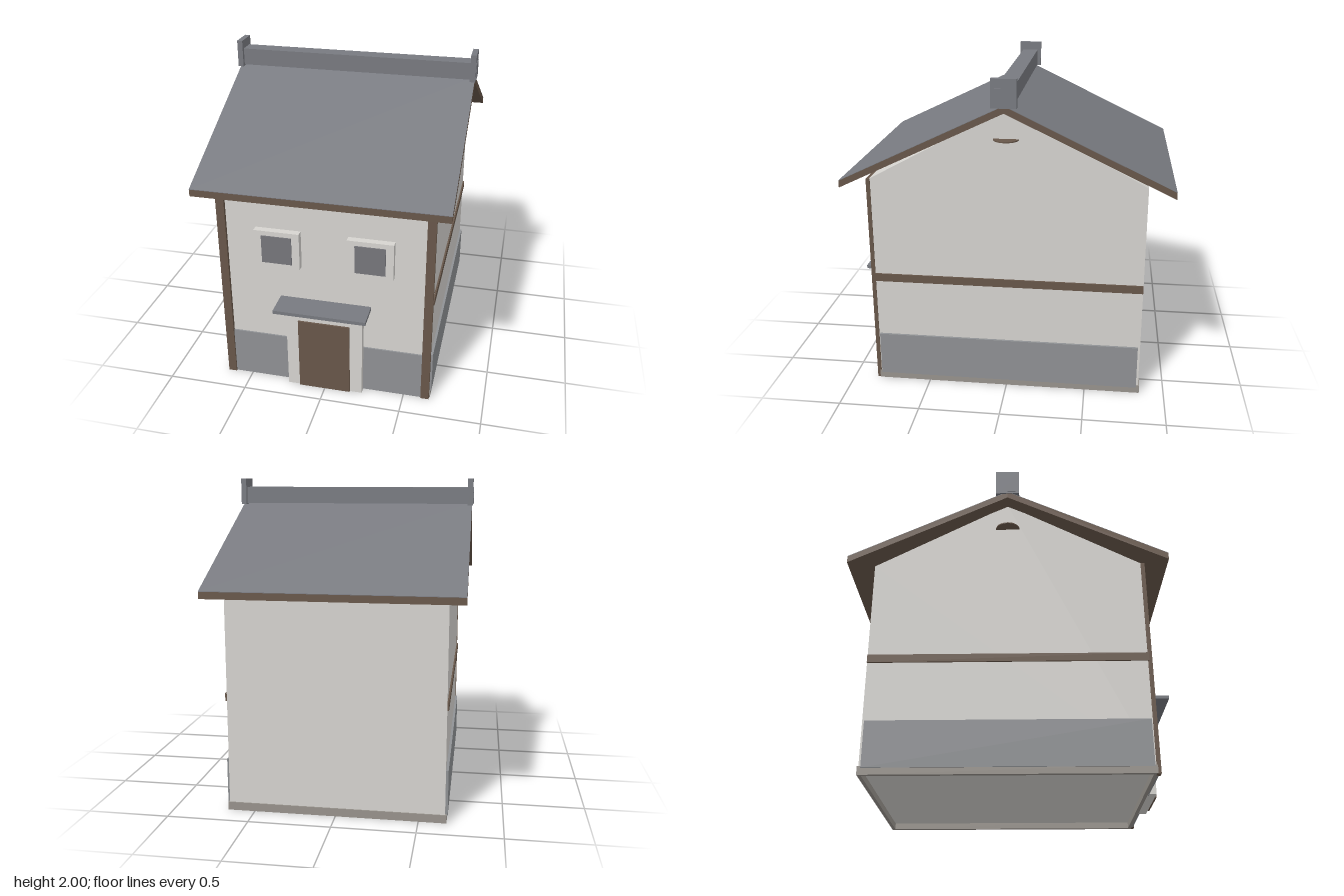
import * as THREE from 'three';

const mat = (color) => new THREE.MeshStandardMaterial({ color, flatShading: true });
const CZ = -0.005; // depth of the ridge line

export function createModel() {
  const group = new THREE.Group();
  const plaster = mat(0xd6d4d0), wood = mat(0x68574a), stone = mat(0x8f9194);
  const slate = mat(0x787a80), glass = mat(0x76767b), footing = mat(0x98938d);

  const add = (name, geometry, material) => {
    const mesh = new THREE.Mesh(geometry, material);
    mesh.name = name;
    group.add(mesh);
    return mesh;
  };
  // Box given by its low and high limits on each axis
  const box = (name, material, [x0, x1], [y0, y1], [z0, z1]) => {
    const g = new THREE.BoxGeometry(x1 - x0, y1 - y0, z1 - z0);
    g.translate((x0 + x1) / 2, (y0 + y1) / 2, (z0 + z1) / 2);
    return add(name, g, material);
  };
  // Prism along x from a [z, y] outline
  const prism = (name, material, outline, halfWidth) => {
    const shape = new THREE.Shape(outline.map(([z, y]) => new THREE.Vector2(-z, y)));
    const g = new THREE.ExtrudeGeometry(shape, { depth: 2 * halfWidth, bevelEnabled: false });
    g.translate(0, 0, -halfWidth);
    g.rotateY(Math.PI / 2);
    g.translate(0, 0, CZ);
    return add(name, g, material);
  };

  // Gabled body, its floor raised inside the footing
  prism('walls', plaster, [[0.835, 0.04], [-0.835, 0.04], [-0.835, 1.36], [0, 1.81], [0.835, 1.36]], 0.658);

  // Footing strips around the bottom
  box('backFooting', footing, [-0.667, 0.667], [0, 0.05], [-0.847, -0.825]);
  box('frontFooting', footing, [-0.655, 0.655], [0, 0.05], [0.81, 0.832]);

  for (const s of [-1, 1]) {
    const span = (a, b) => (s > 0 ? [a, b] : [-b, -a]);

    // Side wall: footing, stone plinth, timber band
    box('sideFooting', footing, span(0.64, 0.667), [0, 0.05], [-0.847, 0.832]);
    box('sidePlinth', stone, span(0.65, 0.673), [0.04, 0.32], [-0.826, 0.817]);
    box('sideBand', wood, span(0.65, 0.668), [0.69, 0.74], [-0.84, 0.831]);

    // Half-round ledge under the gable
    const ledge = new THREE.CylinderGeometry(0.075, 0.075, 0.007, 20, 1, false, 0, Math.PI);
    ledge.rotateY(s > 0 ? 0 : Math.PI);
    ledge.translate(s * 0.656, 1.628, CZ);
    add('gableLedge', ledge, wood);

    // Front: corner post, stone plinth, window
    box('cornerPost', wood, span(0.61, 0.662), [0, 1.36], [0.825, 0.85]);
    box('frontPlinth', stone, span(0.2, 0.612), [0, 0.32], [0.825, 0.84]);
    box('windowFrame', plaster, span(0.145, 0.425), [0.85, 1.09], [0.825, 0.873]);
    box('windowPane', glass, span(0.192, 0.378), [0.88, 1.06], [0.86, 0.88]);

    // Roof slope: timber slab with a slate sheet on top
    const slope = (name, material, lift, thick) => prism(name, material, [
      [0, 1.845 + lift - thick], [s * 0.99, 1.372 + lift - thick],
      [s * 0.99, 1.372 + lift], [0, 1.845 + lift],
    ], 0.758);
    slope('roofSlab', wood, 0, 0.042);
    slope('roofSlate', slate, 0.003, 0.003);

    // Block closing the ridge
    box('ridgeEnd', slate, span(0.73, 0.764), [1.832, 2], [CZ - 0.075, CZ + 0.075]);
  }

  box('ridgeBeam', slate, [-0.768, 0.768], [1.84, 1.945], [CZ - 0.052, CZ + 0.052]);

  // Front beam, door and canopy
  box('frontBeam', wood, [-0.612, 0.612], [1.28, 1.36], [0.825, 0.849]);
  box('doorFrame', plaster, [-0.24, 0.24], [0, 0.55], [0.825, 0.883]);
  box('door', wood, [-0.163, 0.163], [0.001, 0.49], [0.86, 0.894]);
  box('doorCanopy', slate, [-0.285, 0.285], [0.6, 0.622], [0.825, 1]);

  return group;
}
